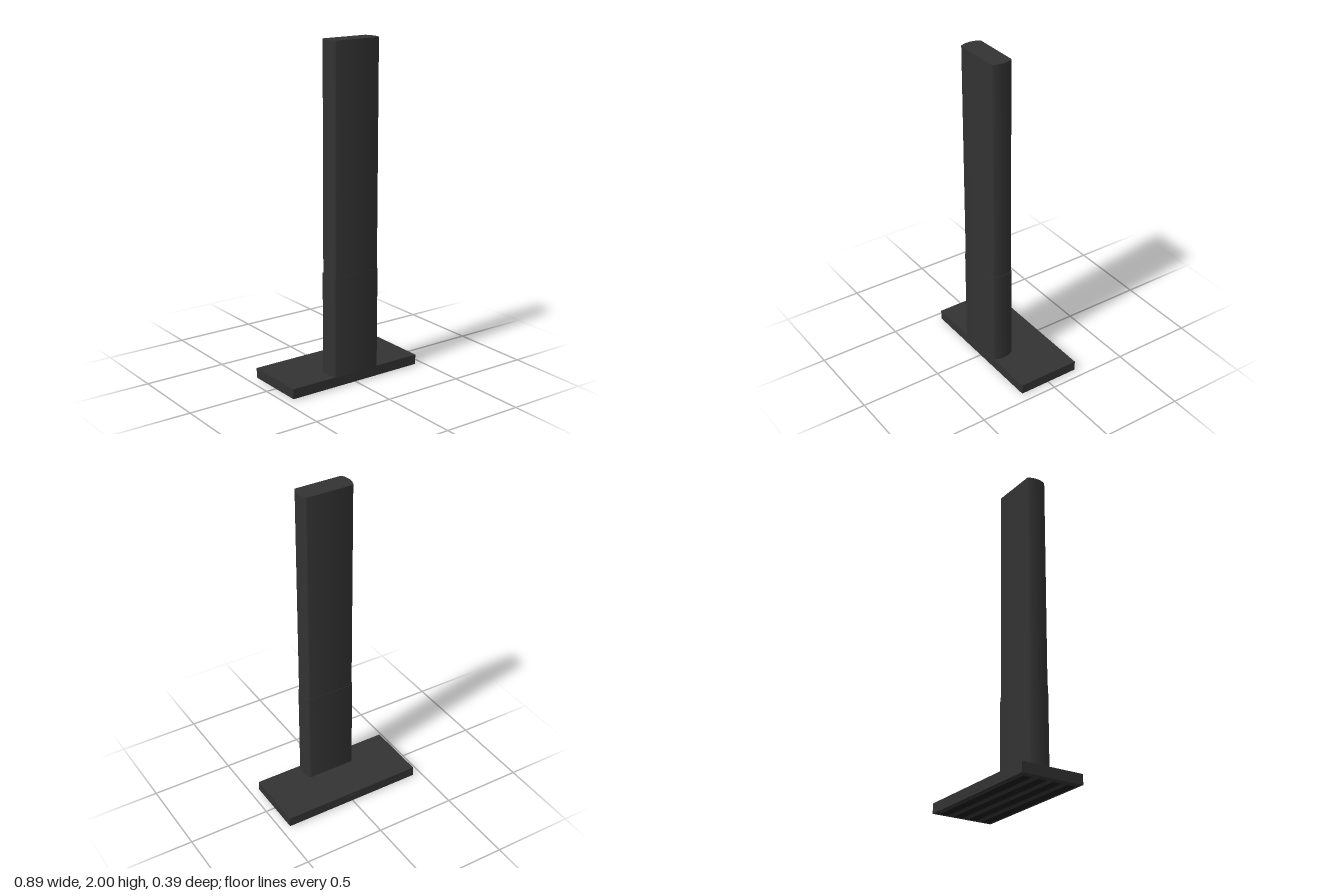
import * as THREE from 'three';
import { toCreasedNormals } from 'three/addons/utils/BufferGeometryUtils.js';

const dark = new THREE.MeshStandardMaterial({ color: 0x333333 });
const black = new THREE.MeshStandardMaterial({ color: 0x1c1c1c });

function box(name, w, h, d, x, y, z, material = dark) {
  const mesh = new THREE.Mesh(new THREE.BoxGeometry(w, h, d), material);
  mesh.name = name;
  mesh.position.set(x, y, z);
  return mesh;
}

// Upright tube: flat front and back, bowed sides, slightly eased corners
function column(name, flatHalf, bowHalf, depth, y0, y1) {
  const h = depth / 2, e = 0.006;
  const control = 2 * bowHalf - flatHalf - e;
  const s = new THREE.Shape();
  s.moveTo(-flatHalf + e, -h);
  s.lineTo(flatHalf - e, -h);
  s.quadraticCurveTo(flatHalf, -h, flatHalf + e, -h + 2 * e);
  s.quadraticCurveTo(control, 0, flatHalf + e, h - 2 * e);
  s.quadraticCurveTo(flatHalf, h, flatHalf - e, h);
  s.lineTo(-flatHalf + e, h);
  s.quadraticCurveTo(-flatHalf, h, -flatHalf - e, h - 2 * e);
  s.quadraticCurveTo(-control, 0, -flatHalf - e, -h + 2 * e);
  s.quadraticCurveTo(-flatHalf, -h, -flatHalf + e, -h);
  const geometry = new THREE.ExtrudeGeometry(s, { depth: y1 - y0, bevelEnabled: false, curveSegments: 12 });
  geometry.rotateX(-Math.PI / 2);
  const mesh = new THREE.Mesh(toCreasedNormals(geometry, 0.6), dark);
  mesh.name = name;
  mesh.position.set(0, y0, 0.128);
  return mesh;
}

export function createModel() {
  const group = new THREE.Group();
  group.name = 'columnStand';

  // Base plate with a small tab flush at the rear edge
  group.add(box('basePlate', 0.888, 0.06, 0.386, 0, 0.036, 0));
  group.add(box('rearTab', 0.09, 0.03, 0.004, 0, 0.036, -0.194));

  // Thin grip strips under the base
  for (let i = 0; i < 4; i++) {
    group.add(box('gripStrip' + (i + 1), 0.82, 0.008, 0.055, 0, 0.004, -0.14 + i * 0.0933, black));
  }

  // Lower sleeve and the slimmer column rising from it
  group.add(column('lowerSleeve', 0.15, 0.168, 0.13, 0.06, 0.665));
  group.add(column('upperColumn', 0.147, 0.164, 0.126, 0.64, 2));
  return group;
}
